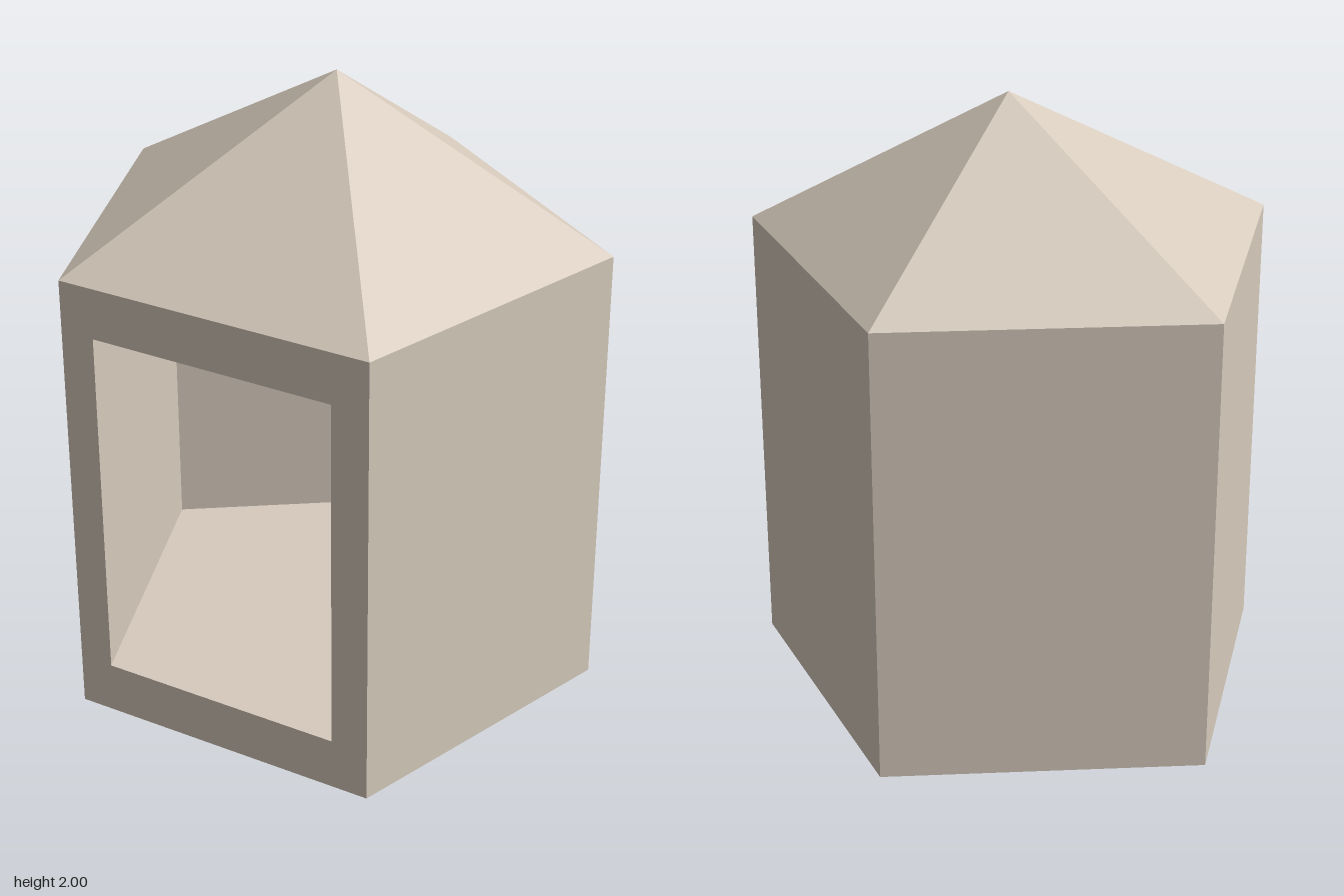
import * as THREE from 'three';

const HEIGHT = 1.5, FLOOR = 0.17, CEILING = 1.335, FRONT = 0.755;

// Plan corners [x, z], starting with the front edge
const OUTER = [[-0.515, FRONT], [0.515, FRONT], [0.833, -0.178], [0, -0.755], [-0.833, -0.178]];
const INNER = [[-0.404, FRONT], [0.394, FRONT], [0.702, -0.138], [-0.003, -0.62], [-0.708, -0.138]];

// Flat-shaded surface from convex polygons
function facets(polygons) {
  const positions = [];
  for (const p of polygons) {
    for (let i = 1; i < p.length - 1; i++) positions.push(...p[0], ...p[i], ...p[i + 1]);
  }
  const geometry = new THREE.BufferGeometry();
  geometry.setAttribute('position', new THREE.Float32BufferAttribute(positions, 3));
  geometry.computeVertexNormals();
  return geometry;
}

const level = (plan, y) => plan.map(([x, z]) => [x, y, z]);

// Upright walls around a plan, leaving the front edge open
function walls(plan, low, high) {
  const a = level(plan, low), b = level(plan, high), result = [];
  for (let i = 1; i < plan.length; i++) {
    const j = (i + 1) % plan.length;
    result.push([a[i], a[j], b[j], b[i]]);
  }
  return result;
}

const flip = (polygons) => polygons.map((p) => [...p].reverse());

function rectangle(path, x0, x1, y0, y1) {
  path.moveTo(x0, y0);
  path.lineTo(x1, y0);
  path.lineTo(x1, y1);
  path.lineTo(x0, y1);
  path.closePath();
  return path;
}

export function createModel() {
  const group = new THREE.Group();
  group.name = 'shelter';
  const stone = new THREE.MeshStandardMaterial({ color: 0xd6cabc });
  stone.name = 'pale stone';

  const add = (name, geometry) => {
    const mesh = new THREE.Mesh(geometry, stone);
    mesh.name = name;
    group.add(mesh);
    return mesh;
  };

  // Outside walls and underside
  add('outerWalls', facets(walls(OUTER, 0, HEIGHT)));
  add('underside', facets(flip([level(OUTER, 0)])));

  // Front wall with the doorway cut out
  const front = rectangle(new THREE.Shape(), OUTER[0][0], OUTER[1][0], 0, HEIGHT);
  front.holes.push(rectangle(new THREE.Path(), INNER[0][0], INNER[1][0], FLOOR, CEILING));
  add('frontWall', new THREE.ShapeGeometry(front)).position.z = FRONT;

  // Pointed roof
  const eaves = level(OUTER, HEIGHT);
  add('roof', facets(eaves.map((p, i) => [p, eaves[(i + 1) % eaves.length], [0, 2, 0.016]])));

  // Hollow room behind the doorway
  add('innerWalls', facets(flip(walls(INNER, FLOOR, CEILING))));
  add('floor', facets([level(INNER, FLOOR)]));
  add('ceiling', facets(flip([level(INNER, CEILING)])));

  return group;
}
